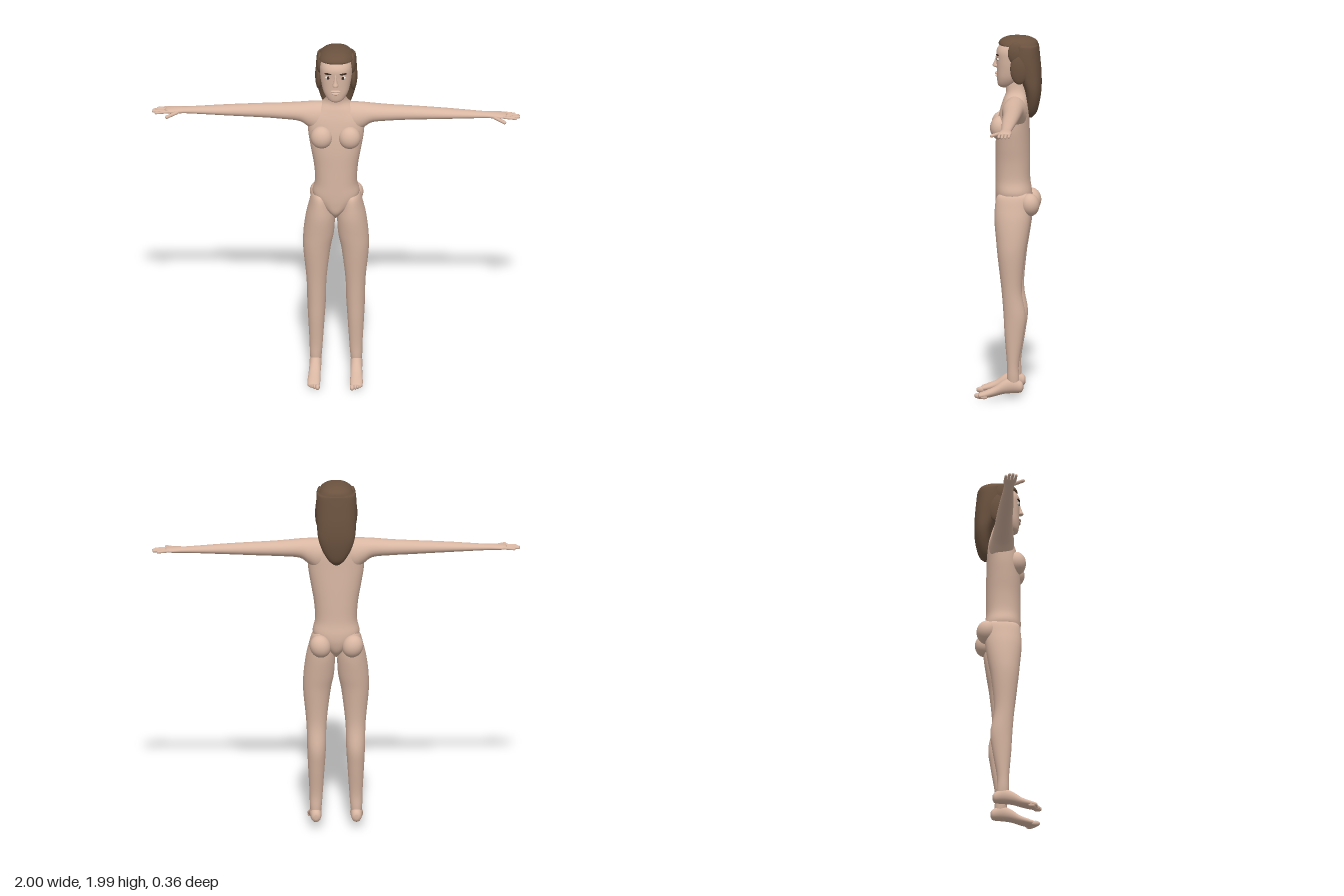
import * as THREE from 'three';

const material = (name, color, side = THREE.FrontSide) => {
  const m = new THREE.MeshStandardMaterial({ color, side });
  m.name = name;
  return m;
};

// Smooth closed loft. Each section is [position on axis, centre a, centre b, radius a, radius b].
// Axis y: a = x, b = z.  Axis x: a = y, b = z.  Axis z: a = x, b = y.
function loft(axis, sections, power = 2, sides = 32, steps = 5) {
  const path = new THREE.CatmullRomCurve3(sections.map(s => new THREE.Vector3(s[0], s[1], s[2])), false, 'catmullrom');
  const size = new THREE.CatmullRomCurve3(sections.map(s => new THREE.Vector3(s[3], s[4], 0)), false, 'catmullrom');
  const place = {
    x: (t, a, b) => [t, a, b],
    y: (t, a, b) => [a, t, b],
    z: (t, a, b) => [a, b, t],
  }[axis];
  const n = (sections.length - 1) * steps;
  const pos = [], index = [];
  const round = v => Math.sign(v) * Math.abs(v) ** (2 / power);
  for (let i = 0; i <= n; i++) {
    const c = path.getPoint(i / n), r = size.getPoint(i / n);
    for (let j = 0; j < sides; j++) {
      const k = j / sides * Math.PI * 2;
      pos.push(...place(c.x, c.y + Math.max(r.x, 0.001) * round(Math.cos(k)), c.z + Math.max(r.y, 0.001) * round(Math.sin(k))));
    }
  }
  for (let i = 0; i < n; i++) for (let j = 0; j < sides; j++) {
    const a = i * sides + j, b = i * sides + (j + 1) % sides;
    index.push(a, a + sides, b, b, a + sides, b + sides);
  }
  const first = sections[0], last = sections[sections.length - 1];
  const start = pos.length / 3;
  pos.push(...place(first[0], first[1], first[2]), ...place(last[0], last[1], last[2]));
  for (let j = 0; j < sides; j++) {
    const k = (j + 1) % sides;
    index.push(start, j, k, start + 1, n * sides + k, n * sides + j);
  }
  // Turn the faces outward when the enclosed volume is negative
  let volume = 0;
  const v = i => new THREE.Vector3().fromArray(pos, i * 3);
  for (let i = 0; i < index.length; i += 3) volume += v(index[i]).dot(v(index[i + 1]).cross(v(index[i + 2])));
  if (volume < 0) index.reverse();
  const g = new THREE.BufferGeometry();
  g.setAttribute('position', new THREE.Float32BufferAttribute(pos, 3));
  g.setIndex(index);
  g.computeVertexNormals();
  return g;
}

export function createModel() {
  const skin = material('skin', 0xd8b6a2);
  const hair = material('hair brown', 0x6b523f);
  const dark = material('brow brown', 0x3a2a20);
  const white = material('eye white', 0xe6dfd8);
  const model = new THREE.Group();
  model.name = 'figure';

  const add = (name, geometry, mat = skin, parent = model) => {
    const m = new THREE.Mesh(geometry, mat);
    m.name = name;
    parent.add(m);
    return m;
  };
  const ball = (name, p, r, mat = skin, parent = model, detail = 24) => {
    const m = add(name, new THREE.SphereGeometry(1, detail, Math.ceil(detail * 0.7)), mat, parent);
    m.position.set(...p);
    m.scale.set(...r);
    return m;
  };
  // Rounded finger between two points
  const finger = (name, from, to, r, parent) => {
    const a = new THREE.Vector3(...from), b = new THREE.Vector3(...to);
    const d = b.clone().sub(a);
    const m = add(name, new THREE.CapsuleGeometry(r, d.length() - r, 5, 10), skin, parent);
    m.position.copy(a).add(b).multiplyScalar(0.5);
    m.quaternion.setFromUnitVectors(new THREE.Vector3(0, 1, 0), d.normalize());
  };

  // Torso and neck
  add('torso', loft('y', [
    [0.99, 0, -0.02, 0.012, 0.05], [1.03, 0, -0.025, 0.05, 0.085], [1.08, 0, -0.03, 0.1, 0.098],
    [1.13, 0, -0.03, 0.127, 0.1], [1.2, 0, -0.025, 0.114, 0.095], [1.3, 0, -0.025, 0.12, 0.094],
    [1.4, 0, -0.025, 0.137, 0.093], [1.5, 0, -0.028, 0.152, 0.088], [1.58, 0, -0.035, 0.15, 0.08],
    [1.64, 0, -0.042, 0.105, 0.068], [1.68, 0, -0.043, 0.062, 0.055], [1.73, 0, -0.035, 0.05, 0.052],
    [1.8, 0, -0.03, 0.05, 0.05],
  ], 2.25, 40));

  // Head
  const head = new THREE.Group();
  head.name = 'head';
  model.add(head);
  add('skull', loft('y', [
    [1.705, 0, 0.015, 0.018, 0.025], [1.72, 0, 0.01, 0.045, 0.046], [1.76, 0, -0.005, 0.069, 0.066],
    [1.81, 0, -0.018, 0.081, 0.08], [1.86, 0, -0.025, 0.087, 0.088], [1.91, 0, -0.03, 0.087, 0.093],
    [1.95, 0, -0.04, 0.07, 0.075], [1.97, 0, -0.045, 0.03, 0.035],
  ], 2.25, 36), skin, head);
  add('nose', loft('y', [
    [1.812, 0, 0.058, 0.008, 0.008], [1.822, 0, 0.065, 0.017, 0.02], [1.845, 0, 0.062, 0.01, 0.015],
    [1.885, 0, 0.056, 0.006, 0.008],
  ], 2, 16), skin, head);
  ball('upperLip', [0, 1.783, 0.06], [0.028, 0.007, 0.012], skin, head);
  ball('lowerLip', [0, 1.768, 0.058], [0.024, 0.007, 0.012], skin, head);

  // Hair: a cap with a fringe step, flowing to a point down the back
  add('hair', loft('y', [
    [1.54, 0, -0.122, 0.015, 0.01], [1.57, 0, -0.128, 0.045, 0.028], [1.63, 0, -0.136, 0.078, 0.036],
    [1.7, 0, -0.135, 0.1, 0.046], [1.78, 0, -0.117, 0.107, 0.064], [1.86, 0, -0.095, 0.111, 0.08],
    [1.935, 0, -0.087, 0.106, 0.08], [1.942, 0, -0.058, 0.098, 0.106], [1.965, 0, -0.055, 0.08, 0.098],
    [1.983, 0, -0.053, 0.05, 0.062], [1.99, 0, -0.052, 0.015, 0.02],
  ], 2.4, 40), hair);

  for (const s of [1, -1]) {
    const side = s > 0 ? 'left' : 'right';
    const group = name => {
      const g = new THREE.Group();
      g.name = side + name;
      model.add(g);
      return g;
    };

    // Face details and side locks
    ball(side + 'Eye', [s * 0.04, 1.864, 0.053], [0.017, 0.009, 0.009], white, head);
    ball(side + 'Iris', [s * 0.04, 1.864, 0.058], [0.008, 0.009, 0.006], dark, head, 14);
    const brow = ball(side + 'Brow', [s * 0.041, 1.888, 0.056], [0.021, 0.005, 0.007], dark, head, 14);
    brow.rotation.y = s * 0.3;
    ball(side + 'HairLock', [s * 0.094, 1.82, -0.066], [0.021, 0.085, 0.05], hair);
    ball(side + 'Temple', [s * 0.089, 1.905, -0.045], [0.019, 0.06, 0.042], hair);

    // Chest and seat
    ball(side + 'Breast', [s * 0.076, 1.492, 0.042], [0.061, 0.065, 0.053]);
    ball(side + 'Buttock', [s * 0.088, 1.07, -0.122], [0.057, 0.064, 0.053]).rotation.z = -s * 0.35;

    // Arm and hand
    const arm = group('Arm');
    const armSections = [
      [0.03, 1.58, -0.04, 0.085, 0.06], [0.1, 1.578, -0.04, 0.088, 0.067], [0.15, 1.593, -0.038, 0.071, 0.063],
      [0.2, 1.608, -0.036, 0.052, 0.057], [0.3, 1.609, -0.038, 0.043, 0.05], [0.4, 1.609, -0.04, 0.038, 0.045],
      [0.6, 1.608, -0.038, 0.028, 0.038], [0.8, 1.605, -0.037, 0.017, 0.027], [0.85, 1.605, -0.036, 0.016, 0.03],
      [0.89, 1.605, -0.035, 0.014, 0.035], [0.92, 1.604, -0.034, 0.011, 0.032], [0.928, 1.604, -0.034, 0.005, 0.025],
    ];
    add(side + 'ArmAndPalm', loft('x', armSections.map(([x, ...r]) => [s * x, ...r]), 2, 28), skin, arm);
    [0.982, 0.996, 0.995, 0.972].forEach((tip, i) => {
      const z = -0.007 - i * 0.018;
      finger(side + 'Finger', [s * 0.91, 1.605, z], [s * tip, 1.599, z + 0.002], 0.0078, arm);
    });
    finger(side + 'Thumb', [s * 0.86, 1.602, -0.012], [s * 0.922, 1.596, 0.04], 0.0095, arm);

    // Leg
    const leg = group('Leg');
    const legSections = [
      [1.135, 0.085, -0.035, 0.025, 0.07], [1.11, 0.085, -0.035, 0.047, 0.094], [1.05, 0.085, -0.031, 0.064, 0.099],
      [0.98, 0.086, -0.028, 0.079, 0.098], [0.88, 0.094, -0.025, 0.083, 0.086], [0.78, 0.104, -0.022, 0.074, 0.073],
      [0.6, 0.106, -0.025, 0.055, 0.055], [0.46, 0.106, -0.041, 0.051, 0.06], [0.35, 0.107, -0.038, 0.045, 0.051],
      [0.2, 0.108, -0.032, 0.036, 0.033], [0.12, 0.11, -0.033, 0.032, 0.033], [0.06, 0.11, -0.035, 0.025, 0.03],
    ];
    add(side + 'LegShape', loft('y', legSections.map(([y, x, ...r]) => [y, s * x, ...r]), 2, 32), skin, leg);

    // Foot and toes
    const footSections = [
      [-0.088, 0.11, 0.07, 0.012, 0.014], [-0.075, 0.11, 0.07, 0.026, 0.031], [-0.03, 0.111, 0.078, 0.033, 0.043],
      [0.02, 0.112, 0.067, 0.032, 0.037], [0.07, 0.114, 0.043, 0.033, 0.026], [0.12, 0.116, 0.027, 0.035, 0.021],
      [0.15, 0.116, 0.021, 0.03, 0.015], [0.156, 0.116, 0.02, 0.015, 0.007],
    ];
    add(side + 'FootShape', loft('z', footSections.map(([z, x, ...r]) => [z, s * x, ...r]), 2, 24), skin, leg);
    [0.013, 0.009, 0.008, 0.008, 0.007].forEach((r, i) => {
      const x = [0.094, 0.111, 0.123, 0.134, 0.143][i];
      ball(side + 'Toe', [s * x, 0.016, 0.156 - i * 0.008], [r, 0.016 - i * 0.0012, 0.024 - i * 0.001], skin, leg, 14);
    });
  }
  return model;
}
